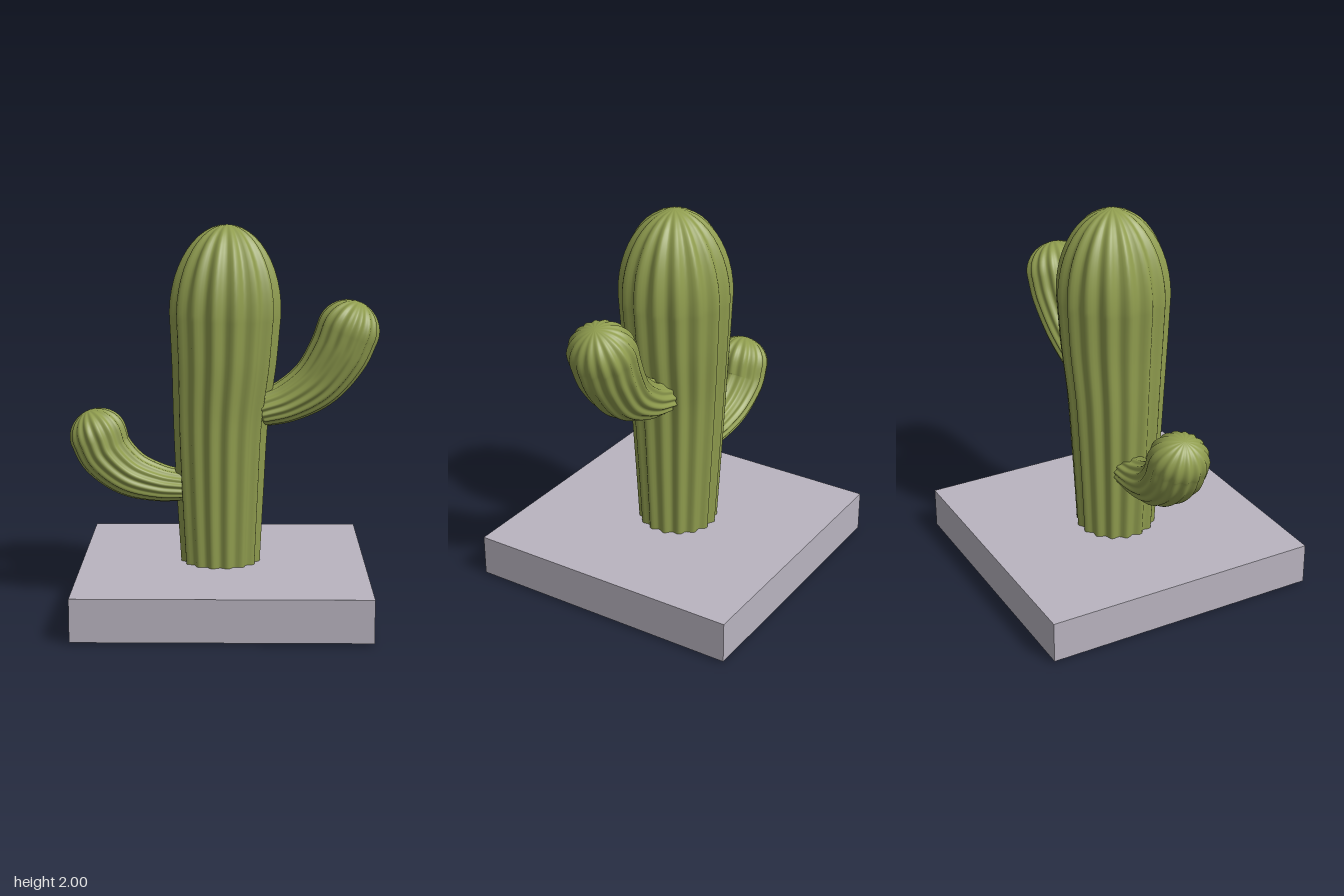
import * as THREE from 'three';

const RIBS = 16, SIDES = RIBS * 8, BODY = 32, DOME = 12;
const green = new THREE.MeshStandardMaterial({ color: 0x8f9c4e });
const stone = new THREE.MeshStandardMaterial({ color: 0xb9b4c0 });

// Ribbed stem swept along a path in the xy plane, rounded at both ends.
// stations: [x, y, radius in plane, radius in z]; startH and endH: dome heights.
function ribbedStem(name, stations, startH, endH, depth, z = 0) {
  const path = new THREE.CatmullRomCurve3(stations.map(s => new THREE.Vector3(s[0], s[1], z)));
  const size = new THREE.CatmullRomCurve3(stations.map(s => new THREE.Vector3(s[2], s[3], 0)));
  const rings = [];
  const addRing = (t, shift, scale) => {
    const tangent = path.getTangent(t), r = size.getPoint(t);
    rings.push({
      centre: path.getPoint(t).addScaledVector(tangent, shift),
      normal: new THREE.Vector3(tangent.y, -tangent.x, 0),
      rx: r.x * scale, rz: r.y * scale,
    });
  };
  for (let i = 0; i < DOME; i++) {
    const a = (i / DOME) * Math.PI / 2;
    addRing(0, -startH * Math.cos(a), Math.sin(a));
  }
  for (let i = 0; i <= BODY; i++) addRing(i / BODY, 0, 1);
  for (let i = 1; i <= DOME; i++) {
    const a = (i / DOME) * Math.PI / 2;
    addRing(1, endH * Math.sin(a), Math.max(Math.cos(a), 0));
  }

  const positions = [], index = [];
  rings.forEach((ring, i) => {
    for (let j = 0; j < SIDES; j++) {
      const a = (j / SIDES) * Math.PI * 2;
      const rib = 1 - depth * (0.5 + 0.5 * Math.cos(RIBS * a));
      const p = ring.centre.clone().addScaledVector(ring.normal, ring.rx * rib * Math.cos(a));
      positions.push(p.x, p.y, p.z + ring.rz * rib * Math.sin(a));
      if (i === rings.length - 1) continue;
      const k = (j + 1) % SIDES, lo = i * SIDES, hi = lo + SIDES;
      index.push(lo + j, hi + j, lo + k, hi + j, hi + k, lo + k);
    }
  });
  const geometry = new THREE.BufferGeometry();
  geometry.setAttribute('position', new THREE.Float32BufferAttribute(positions, 3));
  geometry.setIndex(index);
  geometry.computeVertexNormals();
  const mesh = new THREE.Mesh(geometry, green);
  mesh.name = name;
  return mesh;
}

export function createModel() {
  const group = new THREE.Group();
  group.name = 'cactus';

  // Square slab
  const base = new THREE.Mesh(new THREE.BoxGeometry(1.49, 0.22, 1.49), stone);
  base.position.y = 0.12;
  base.name = 'base';
  group.add(base);

  // Trunk, widening upwards with a slight lean
  group.add(ribbedStem('trunk', [
    [-0.015, 0.2, 0.21, 0.21],
    [-0.017, 0.6, 0.232, 0.232],
    [-0.014, 1.0, 0.252, 0.256],
    [0.003, 1.3, 0.277, 0.281],
    [0.009, 1.55, 0.294, 0.294],
  ], 0.2, 0.45, 0.1));

  // High arm
  group.add(ribbedStem('leftArm', [
    [0.2, 1.045, 0.095, 0.145],
    [0.34, 1.09, 0.115, 0.145],
    [0.49, 1.19, 0.14, 0.155],
    [0.6, 1.345, 0.16, 0.175],
    [0.645, 1.455, 0.165, 0.18],
  ], 0.02, 0.16, 0.09, 0.01));

  // Low arm
  group.add(ribbedStem('rightArm', [
    [-0.2, 0.63, 0.08, 0.12],
    [-0.34, 0.645, 0.1, 0.13],
    [-0.5, 0.7, 0.125, 0.145],
    [-0.62, 0.81, 0.145, 0.16],
    [-0.658, 0.9, 0.152, 0.16],
  ], 0.02, 0.14, 0.09));

  return group;
}
